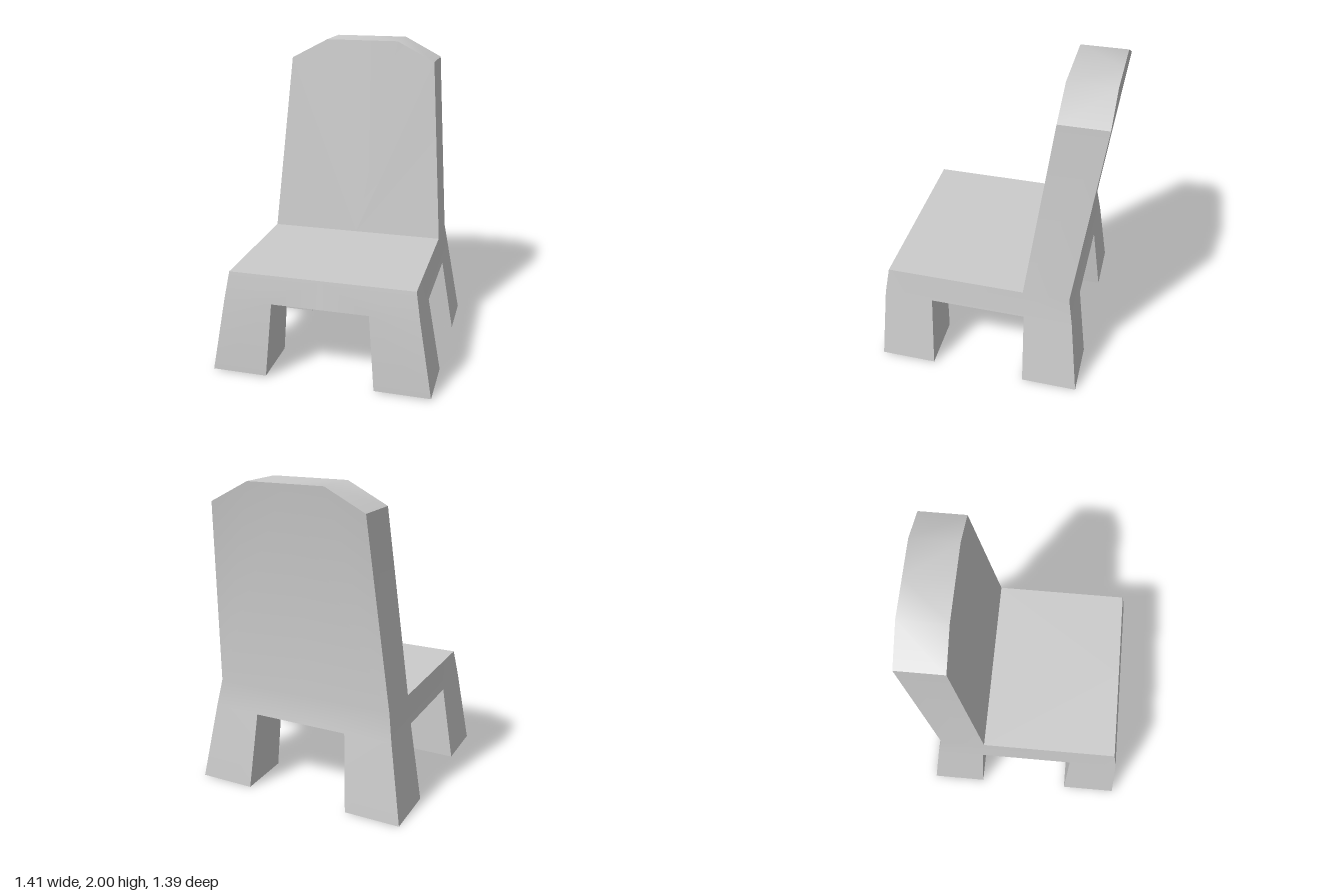
import * as THREE from 'three';
import { toCreasedNormals } from 'three/addons/utils/BufferGeometryUtils.js';

const SEAT = 0.68, UNDER = 0.5; // heights of the seat top and its underside

// Outlines for the model's left half (x >= 0); the other half is mirrored.
const mid = (p) => [0, p[1], p[2]];
const topF = [0.59, SEAT, 0.64], topM = [0.59, SEAT, -0.25], topB = [0.59, SEAT, -0.545];
const shoulderF = [0.495, 1.87, -0.4], shoulderB = [0.495, 1.87, -0.695];
const crownF = [0.245, 2, -0.4], crownB = [0.245, 2, -0.695];

// Leg sections, as rings: front inner, front outer, back outer, back inner
const ring = (xi, xo, y, zf, zb) => [[xi, y, zf], [xo, y, zf], [xo, y, zb], [xi, y, zb]];
const frontTop = ring(0.31, 0.62, UNDER, 0.667, 0.347);
const frontFoot = ring(0.35, 0.705, 0.01, 0.695, 0.333);
const backTop = ring(0.31, 0.62, UNDER, -0.265, -0.575);
const backFoot = ring(0.345, 0.705, 0, -0.637, -0.28);
backFoot.forEach((p, i) => { p[2] = i < 2 ? -0.28 : -0.637; });

// Leg walls, open at the foot
const walls = (top, foot) => top.map((p, i) => {
  const j = (i + 1) % 4;
  return [p, foot[i], foot[j], top[j]];
});

const [fi, fo, fs, fn] = frontTop;
const [bn, bs, bo, bi] = backTop;

const halves = {
  seat: [
    [mid(topF), topF, topM, mid(topM)],                 // top
    [mid(topF), mid(fi), fi, fo, topF],                 // front apron
    [topM, topF, fo, fs, bs, bo, topB],                 // side apron
    [topB, bo, bi, mid(bi), mid(topB)],                 // rear apron
    [mid(fi), mid(bi), bi, bn, fn, fi],                 // underside, middle
    [fn, bn, bs, fs],                                   // underside, side
  ],
  backrest: [
    [mid(topM), topM, shoulderF, crownF, mid(crownF)],  // front
    [topM, topB, shoulderB, shoulderF],                 // side
    [shoulderF, shoulderB, crownB, crownF],             // bevelled shoulder
    [crownF, crownB, mid(crownB), mid(crownF)],         // top edge
    [topB, mid(topB), mid(crownB), crownB, shoulderB],  // rear
  ],
  FrontLeg: walls(frontTop, frontFoot),
  BackLeg: walls(backTop, backFoot),
};

// Fan-triangulate a convex outline into a flat coordinate list
function fan(poly, out) {
  for (let i = 1; i < poly.length - 1; i++) out.push(...poly[0], ...poly[i], ...poly[i + 1]);
}
const mirror = (poly) => poly.map(([x, y, z]) => [-x, y, z]).reverse();
// Keep the same fan corner first after reversing
const mirrored = (poly) => { const m = mirror(poly); return [m[m.length - 1], ...m.slice(0, -1)]; };

export function createModel() {
  const group = new THREE.Group();
  group.name = 'chair';
  const material = new THREE.MeshStandardMaterial({ color: 0xcccccc, side: THREE.DoubleSide });

  // Gather the triangles of every part
  const parts = {};
  for (const [name, polys] of Object.entries(halves)) {
    const isLeg = name.endsWith('Leg');
    const left = (parts[isLeg ? 'left' + name : name] ??= []);
    polys.forEach((p) => fan(p, left));
    const right = (parts[isLeg ? 'right' + name : name] ??= []);
    polys.forEach((p) => fan(mirrored(p), right));
  }

  // Shade the shell as a whole, so gentle bends stay smooth across parts
  let shell = new THREE.BufferGeometry();
  shell.setAttribute('position', new THREE.Float32BufferAttribute(Object.values(parts).flat(), 3));
  shell = toCreasedNormals(shell, 0.5);

  // Split it into named meshes
  let start = 0;
  for (const [name, coords] of Object.entries(parts)) {
    const geometry = new THREE.BufferGeometry();
    for (const key of ['position', 'normal']) {
      const slice = shell.attributes[key].array.slice(start, start + coords.length);
      geometry.setAttribute(key, new THREE.BufferAttribute(slice, 3));
    }
    start += coords.length;
    const mesh = new THREE.Mesh(geometry, material);
    mesh.name = name;
    group.add(mesh);
  }
  return group;
}
